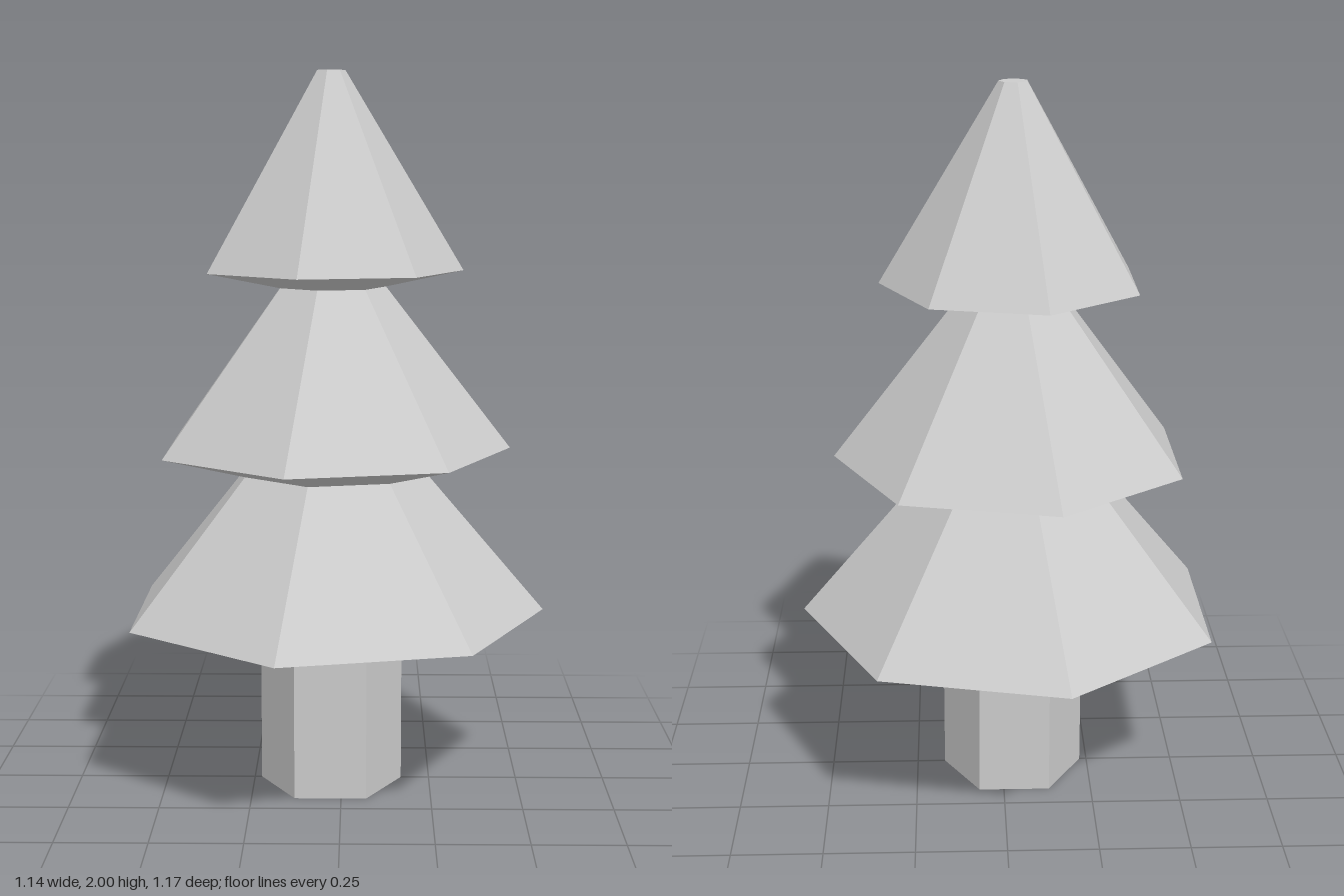
import * as THREE from 'three';

export function createModel() {
  const tree = new THREE.Group();
  tree.name = 'tree';
  const material = new THREE.MeshStandardMaterial({ color: 0xcccccc, flatShading: true });
  const centreX = -0.03;

  function addPart(name, geometry) {
    const mesh = new THREE.Mesh(geometry, material);
    mesh.name = name;
    mesh.position.x = centreX;
    tree.add(mesh);
    return mesh;
  }

  // Six-sided trunk with corners on the x axis
  const trunk = addPart('trunk', new THREE.CylinderGeometry(0.2, 0.2, 0.5, 6));
  trunk.rotation.y = Math.PI / 2;
  trunk.position.y = 0.25;

  // Seven-sided foliage tiers: each profile runs underside, rim, slope
  const tiers = [
    { name: 'lowerFoliage', profile: [[0, 0.5], [0.6, 0.5], [0.26, 0.9]] },
    { name: 'middleFoliage', profile: [[0.26, 0.9], [0.5, 0.965], [0.152, 1.415]] },
    { name: 'upperFoliage', profile: [[0.152, 1.415], [0.365, 1.46], [0.04, 2], [0, 2]] },
  ];
  for (const { name, profile } of tiers) {
    const points = profile.map(([r, y]) => new THREE.Vector2(r, y));
    addPart(name, new THREE.LatheGeometry(points, 7, Math.PI / 2));
  }

  return tree;
}
